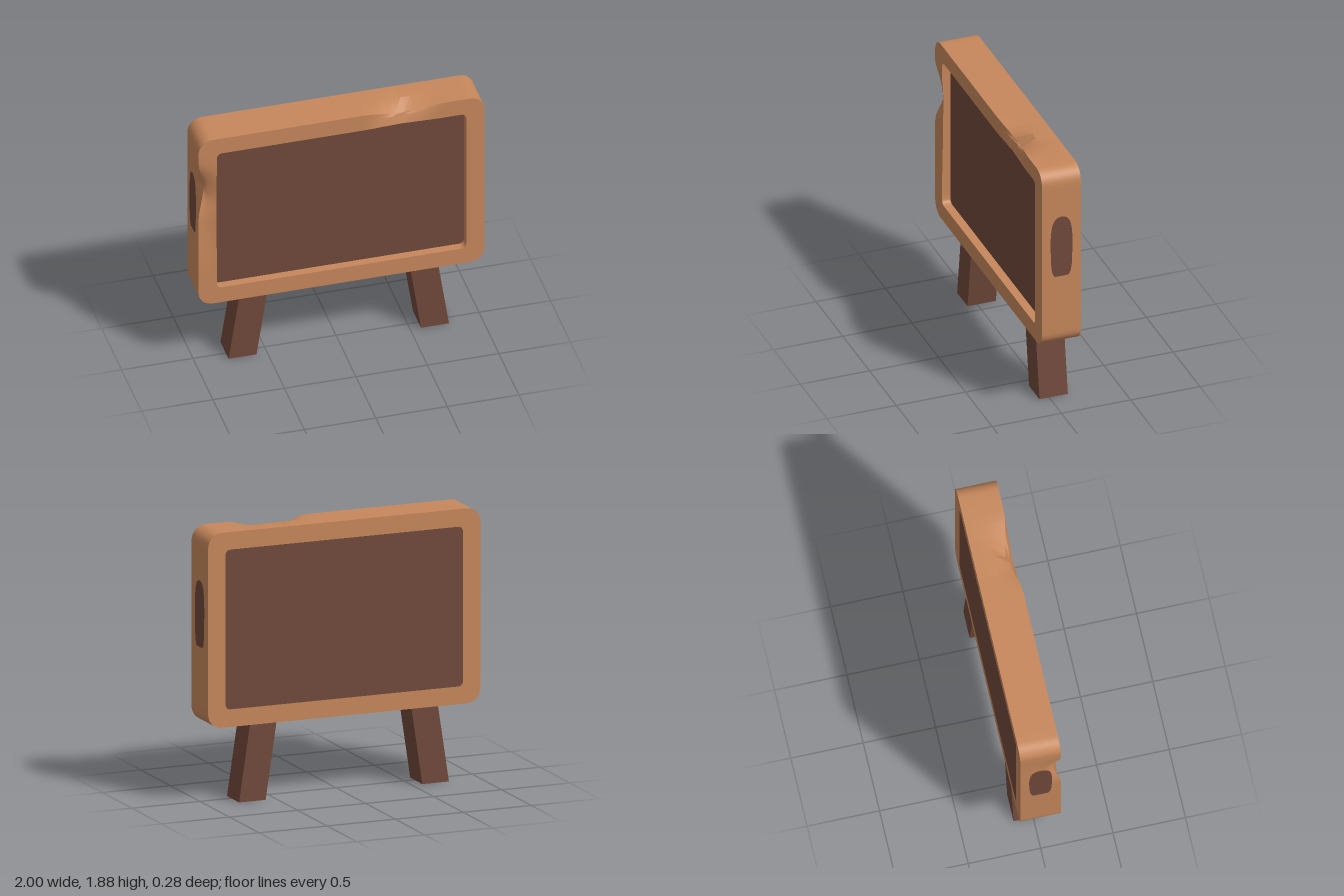
import * as THREE from 'three';
import { toCreasedNormals } from 'three/addons/utils/BufferGeometryUtils.js';

const CY = 1.205;      // height of the board's centre
const HALF_DEPTH = 0.14;
const FLOOR = 0.08;    // z of the sunken front panel

// Rounded rectangle as a counter-clockwise loop; every loop has the same point count
function roundedLoop(hw, hh, r, perSide = 28, perCorner = 8) {
  const pts = [];
  const corners = [[1, 1, 0], [-1, 1, 1], [-1, -1, 2], [1, -1, 3]];
  corners.forEach(([sx, sy, q], n) => {
    for (let i = 0; i <= perCorner; i++) {
      const a = (q + i / perCorner) * Math.PI / 2;
      pts.push(new THREE.Vector2(sx * (hw - r) + r * Math.cos(a), CY + sy * (hh - r) + r * Math.sin(a)));
    }
    // straight run to the start of the next corner
    const [nx, ny, nq] = corners[(n + 1) % 4];
    const a = nq * Math.PI / 2;
    const end = new THREE.Vector2(nx * (hw - r) + r * Math.cos(a), CY + ny * (hh - r) + r * Math.sin(a));
    const start = pts[pts.length - 1].clone();
    for (let i = 1; i < perSide; i++) pts.push(start.clone().lerp(end, i / perSide));
  });
  return pts;
}

// Smooth bump, 1 at c and 0 beyond c +- w
const bump = (v, c, w) => {
  const t = Math.max(0, 1 - Math.abs(v - c) / w);
  return t * t * (3 - 2 * t);
};

// Frame: cross-sections swept round the loop, with worn dents on the front edge
function frameGeometry(outer, inner) {
  const n = outer.length;
  const profile = [ // [outer-to-inner fraction, z, dent inward, dent backward]
    [0, -HALF_DEPTH, 0, 0],
    [0, 0, 0, 0],
    [0, HALF_DEPTH, 0.06, 0.05],
    [0.5, HALF_DEPTH, 0, 0.03],
    [1, HALF_DEPTH, 0, 0.01],
    [1, FLOOR - 0.01, 0, 0],
    [1, -HALF_DEPTH, 0, 0],
  ];
  const rows = profile.map(([f, z, inward, back]) => outer.map((o, i) => {
    const p = o.clone().lerp(inner[i], f);
    const top = p.y > 1.7 && Math.abs(o.x) < 0.9
      ? bump(o.x, 0.45, 0.3) * (1 + 0.15 * Math.sin(o.x * 60)) : 0;
    const side = o.x < -0.95 ? bump(o.y, 1.47, 0.24) : 0;
    const wear = o.x < -0.95 && f > 0 ? 0.6 * bump(o.y, 1.15, 0.45) : 0;
    return [p.x + inward * 0.8 * side, p.y - inward * top, z - back * (top + side + wear)];
  }));
  const pos = [];
  for (let k = 0; k < rows.length; k++) {
    const A = rows[k], B = rows[(k + 1) % rows.length];
    for (let i = 0; i < n; i++) {
      const j = (i + 1) % n;
      pos.push(...A[i], ...A[j], ...B[j], ...A[i], ...B[j], ...B[i]);
    }
  }
  const g = new THREE.BufferGeometry();
  g.setAttribute('position', new THREE.Float32BufferAttribute(pos, 3));
  return toCreasedNormals(g, 0.5);
}

// Leg: a box sheared outward towards the foot
function legGeometry(side) {
  const g = new THREE.BoxGeometry(0.195, 0.56, 0.205);
  g.translate(0, 0.28, -0.0325);
  const p = g.attributes.position;
  for (let i = 0; i < p.count; i++) {
    p.setX(i, p.getX(i) + side * (0.673 - 0.15 * p.getY(i)));
  }
  g.computeVertexNormals();
  return g;
}

// Oval end patch, rounder at the top than at the bottom
function patchGeometry() {
  const s = new THREE.Shape();
  s.moveTo(-0.045, 1.07);
  s.lineTo(0.045, 1.07);
  s.quadraticCurveTo(0.07, 1.08, 0.075, 1.17);
  s.lineTo(0.08, 1.32);
  s.bezierCurveTo(0.077, 1.46, 0.065, 1.53, 0, 1.53);
  s.bezierCurveTo(-0.065, 1.53, -0.077, 1.46, -0.08, 1.32);
  s.lineTo(-0.075, 1.17);
  s.quadraticCurveTo(-0.07, 1.08, -0.045, 1.07);
  return new THREE.ShapeGeometry(s, 10);
}

export function createModel() {
  const model = new THREE.Group();
  const lightWood = new THREE.MeshStandardMaterial({ color: 0xc6875b });
  lightWood.name = 'lightWood';
  const darkWood = new THREE.MeshStandardMaterial({ color: 0x70483a });
  darkWood.name = 'darkWood';

  const add = (name, geometry, material) => {
    const mesh = new THREE.Mesh(geometry, material);
    mesh.name = name;
    model.add(mesh);
    return mesh;
  };

  // Board
  const outer = roundedLoop(1, 0.675, 0.1);
  const inner = roundedLoop(0.872, 0.553, 0.035);
  add('frame', frameGeometry(outer, inner), lightWood);

  // Panel: sunken at the front, flush at the back
  const panel = new THREE.ExtrudeGeometry(new THREE.Shape(inner), {
    depth: FLOOR + HALF_DEPTH, bevelEnabled: false,
  });
  panel.translate(0, 0, -HALF_DEPTH);
  add('panel', panel, darkWood);

  // Legs and end patches, mirrored
  for (const [label, side] of [['left', 1], ['right', -1]]) {
    add(label + 'Leg', legGeometry(side), darkWood);
    const patch = add(label + 'EndPatch', patchGeometry(), darkWood);
    patch.rotation.y = side * Math.PI / 2;
    patch.position.x = side * 1.002;
  }
  return model;
}
